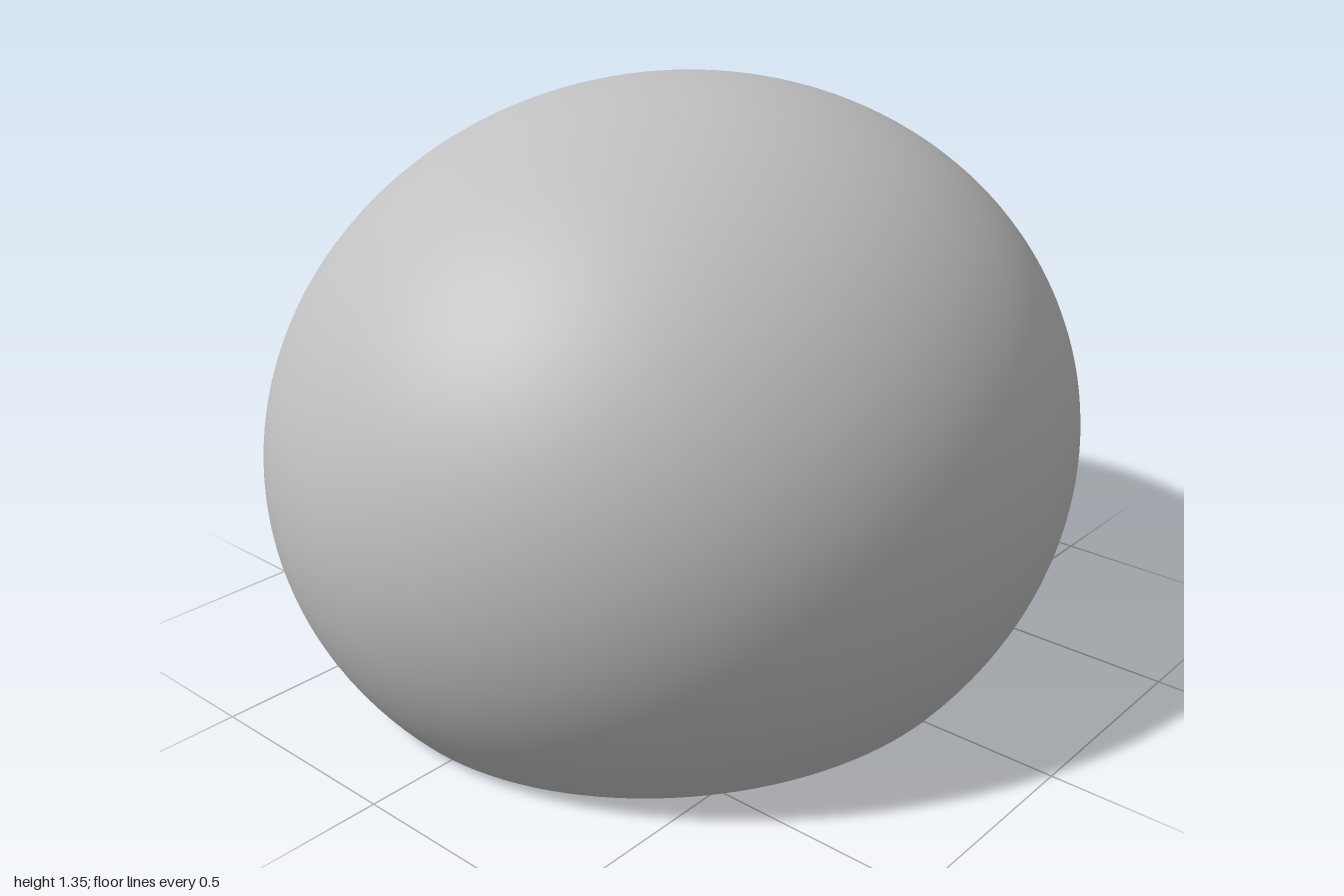
import * as THREE from 'three';

const SEG = 128, STEPS = 96;
const CY = 0.515, CZ = -0.035;        // shell centre
const OUTER = [1, 0.84, 0.905];       // outer radii
const WALL = 0.05;                    // shell thickness
const BACK = -0.87;                   // flat back plane
const BASE_HOLE = 0.68, BACK_HOLE = 0.286;

// Smooth strip through closed rows of points
function loft(rows) {
  const pos = rows.flat(2), index = [];
  for (let i = 0; i < rows.length - 1; i++) {
    for (let j = 0; j < SEG; j++) {
      const k = (j + 1) % SEG;
      const a = i * SEG + j, b = a + SEG, c = i * SEG + k, d = c + SEG;
      index.push(a, b, c, b, d, c);
    }
  }
  const g = new THREE.BufferGeometry();
  g.setAttribute('position', new THREE.Float32BufferAttribute(pos, 3));
  g.setIndex(index);
  g.computeVertexNormals();
  return g;
}

const ring = (f) => Array.from({ length: SEG }, (_, j) => {
  const t = (j / SEG) * Math.PI * 2;
  return f(Math.cos(t), Math.sin(t));
});

// Ellipsoid between a base plane and a back plane: each row is a slice by a
// plane turning about the line where those two planes meet
function cutEllipsoid([rx, ry, rz], baseY, backZ) {
  const a = (CY - baseY) / ry, b = (CZ - backZ) / rz;
  return Array.from({ length: STEPS + 1 }, (_, i) => {
    const phi = (i / STEPS) * Math.PI / 2;
    const c = Math.cos(phi), s = Math.sin(phi);
    const d = b * s - a * c, r = Math.sqrt(1 - d * d);
    return ring((x, u) => [
      rx * r * x,
      CY + ry * (c * d + s * r * u),
      CZ + rz * (-s * d + c * r * u),
    ]);
  });
}

export function createModel() {
  const group = new THREE.Group();
  const grey = new THREE.MeshStandardMaterial({ color: 0xc0c0c0 });
  grey.name = 'grey';
  const add = (name, rows) => {
    const mesh = new THREE.Mesh(loft(rows), grey);
    mesh.name = name;
    group.add(mesh);
  };

  const outer = cutEllipsoid(OUTER, 0, BACK);
  const inner = cutEllipsoid(OUTER.map((r) => r - WALL), WALL, BACK + WALL);
  const baseCircle = (y) => ring((x, u) => [BASE_HOLE * x, y, CZ + BASE_HOLE * u]);
  const backCircle = (z) => ring((x, u) => [BACK_HOLE * x, CY + BACK_HOLE * u, z]);

  // Domed skins
  add('outerShell', outer);
  add('innerShell', [...inner].reverse());

  // Flat rims and round openings, following the section around the wall
  const addOpening = (name, loops) => {
    ['Rim', 'HoleWall', 'InnerLedge'].forEach((part, i) => add(name + part, [loops[i], loops[i + 1]]));
  };
  addOpening('back', [outer[STEPS], backCircle(BACK), backCircle(BACK + WALL), inner[STEPS]]);
  const base = [inner[0], baseCircle(WALL), baseCircle(0), outer[0]];
  ['baseInnerLedge', 'baseHoleWall', 'baseRim'].forEach((name, i) => add(name, [base[i], base[i + 1]]));

  return group;
}
